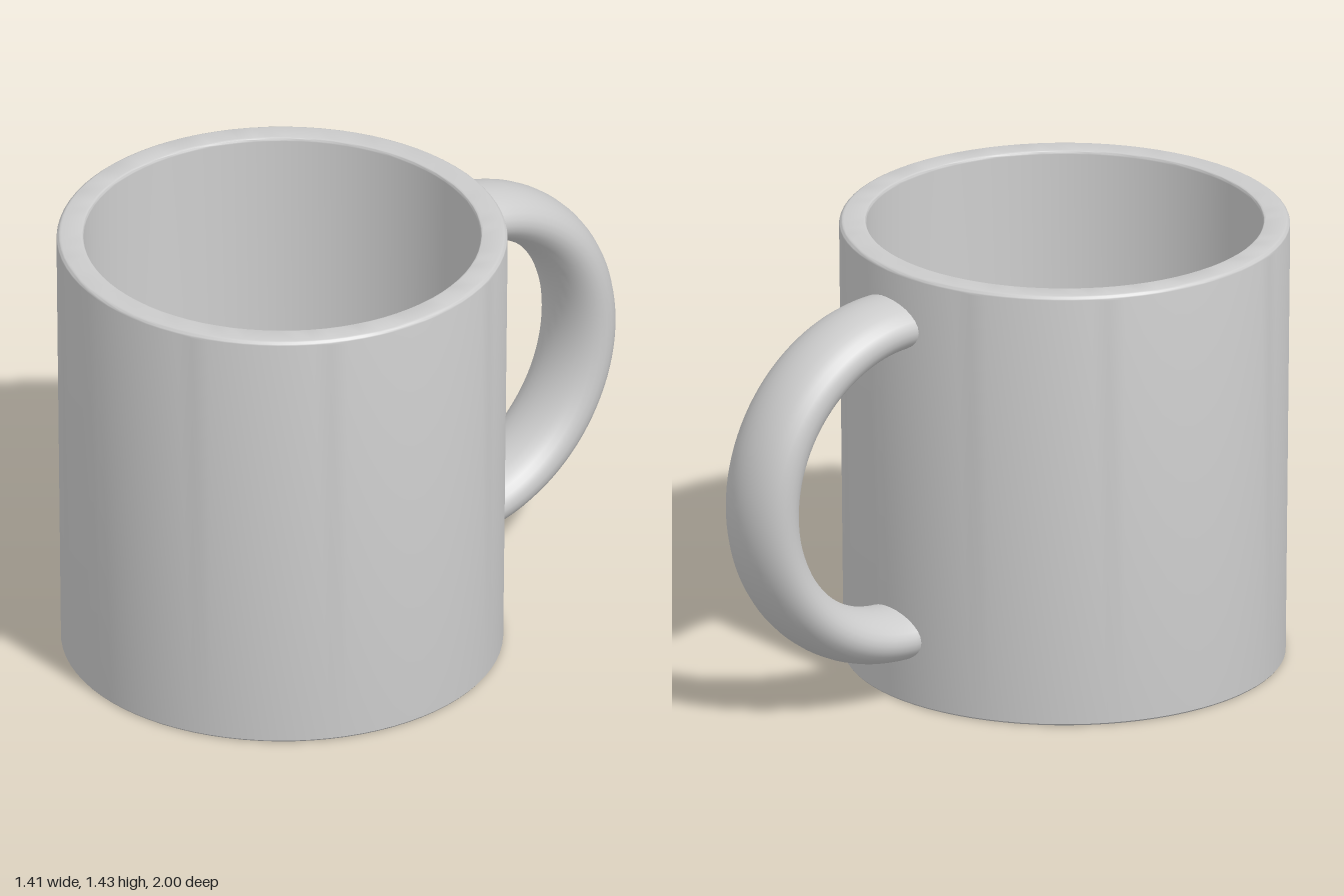
import * as THREE from 'three';
import { toCreasedNormals } from 'three/addons/utils/BufferGeometryUtils.js';

const BODY_Z = 0.295; // cup axis, offset forward to balance the handle

// Cup wall, rim and floor as one revolved closed profile
function createCup(material) {
  const profile = new THREE.Path();
  profile.moveTo(0, 0);
  profile.lineTo(0.687, 0);
  profile.lineTo(0.691, 0.005);
  profile.lineTo(0.705, 1.415);
  profile.quadraticCurveTo(0.705, 1.43, 0.69, 1.432); // softened rim
  profile.lineTo(0.63, 1.432);
  profile.quadraticCurveTo(0.62, 1.432, 0.62, 1.42);
  profile.lineTo(0.605, 0.17);
  profile.quadraticCurveTo(0.604, 0.1, 0.545, 0.1); // inner fillet
  profile.lineTo(0, 0.1);

  const points = profile.getPoints(6);
  const geometry = toCreasedNormals(new THREE.LatheGeometry(points, 80), 0.6);
  const cup = new THREE.Mesh(geometry, material);
  cup.name = 'cup';
  cup.position.z = BODY_Z;
  return cup;
}

// Handle: half ring with a wide oval section, slightly thicker at its middle
function createHandle(material) {
  const overlap = 0.06; // run the ends into the cup wall
  const outer = 0.6;
  const halfWidth = 0.14;
  const arc = Math.PI + 2 * overlap;
  const geometry = new THREE.TorusGeometry(1, 0.5, 28, 56, arc);
  const pos = geometry.attributes.position;
  const uv = geometry.attributes.uv;
  for (let i = 0; i < pos.count; i++) {
    const a = (uv.getX(i) - 0.5) * arc; // 0 at the middle of the handle
    const s = uv.getY(i) * Math.PI * 2;
    const thick = 0.083 + 0.012 * Math.max(0, Math.cos(a));
    const r = outer - thick + thick * Math.cos(s);
    pos.setXYZ(i, halfWidth * Math.sin(s), r * Math.sin(a), -r * Math.cos(a));
  }
  // keep faces outward under this mapping
  geometry.computeVertexNormals();
  const normal = geometry.attributes.normal;
  // join the normals across the section seam
  const row = 57, last = 28 * row;
  const n = new THREE.Vector3(), m = new THREE.Vector3();
  for (let i = 0; i < row; i++) {
    n.fromBufferAttribute(normal, i).add(m.fromBufferAttribute(normal, last + i)).normalize();
    normal.setXYZ(i, n.x, n.y, n.z);
    normal.setXYZ(last + i, n.x, n.y, n.z);
  }
  const handle = new THREE.Mesh(geometry, material);
  handle.name = 'handle';
  handle.position.set(0, 0.732, -0.4);
  return handle;
}

export function createModel() {
  const material = new THREE.MeshStandardMaterial({ color: 0xcccccc });
  const model = new THREE.Group();
  model.name = 'mug';
  model.add(createCup(material), createHandle(material));
  return model;
}
